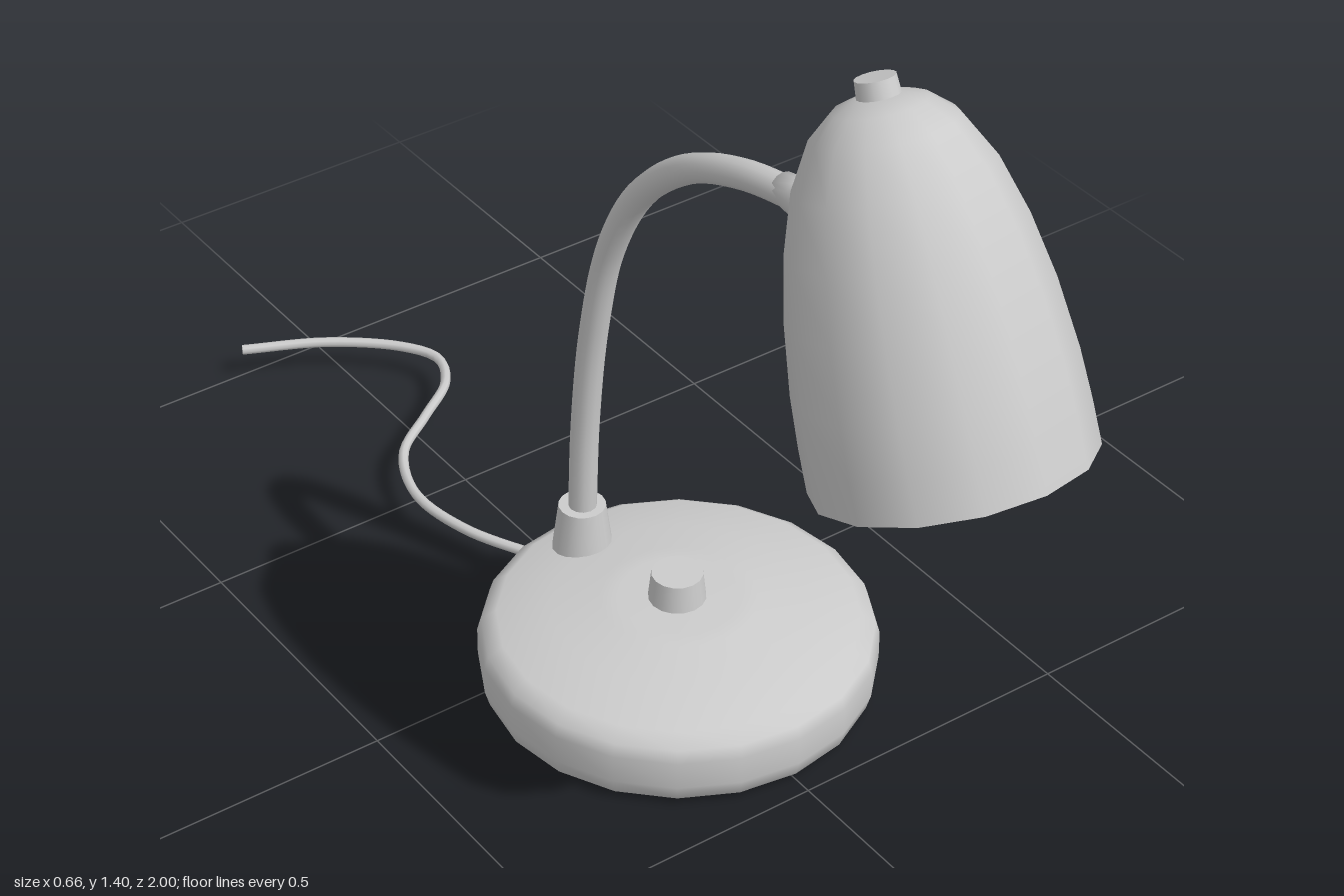
import * as THREE from 'three';

const grey = new THREE.MeshStandardMaterial({ color: 0xcccccc });
const thin = new THREE.MeshStandardMaterial({ color: 0xcccccc, side: THREE.DoubleSide });

// Turned part: profile is a list of [radius, height], bottom to top
function turned(name, profile, sides, material = grey) {
  const points = profile.map(([r, h]) => new THREE.Vector2(r, h));
  const mesh = new THREE.Mesh(new THREE.LatheGeometry(points, sides), material);
  mesh.name = name;
  return mesh;
}

// Tapered peg with its lower end at y
function peg(name, rTop, rBottom, height, x, y, z) {
  const geometry = new THREE.CylinderGeometry(rTop, rBottom, height, 16);
  const mesh = new THREE.Mesh(geometry, grey);
  mesh.position.set(x, y + height / 2, z);
  mesh.name = name;
  return mesh;
}

// Round tube along a smooth path, with closed ends
function hose(name, path, radius, steps, sides) {
  const curve = new THREE.CatmullRomCurve3(path.map(p => new THREE.Vector3(...p)));
  const group = new THREE.Group();
  group.name = name;
  group.add(new THREE.Mesh(new THREE.TubeGeometry(curve, steps, radius, sides), grey));
  for (const t of [0, 1]) {
    const cap = new THREE.Mesh(new THREE.CircleGeometry(radius, sides), grey);
    const out = curve.getTangent(t).multiplyScalar(t ? 1 : -1);
    cap.position.copy(curve.getPoint(t));
    cap.quaternion.setFromUnitVectors(new THREE.Vector3(0, 0, 1), out);
    group.add(cap);
  }
  return group;
}

export function createModel() {
  const lamp = new THREE.Group();
  lamp.name = 'deskLamp';

  // Weighted base with a softly sloping top
  const base = turned('base', [
    [0, 0], [0.1, 0], [0.31, 0.005], [0.324, 0.012], [0.332, 0.04], [0.332, 0.09],
    [0.325, 0.112], [0.3, 0.13], [0.21, 0.149], [0.13, 0.163], [0.1, 0.166], [0, 0.167],
  ], 20);
  base.position.z = 0.143;
  lamp.add(base);

  // Switch button and the socket of the arm
  lamp.add(peg('switchButton', 0.043, 0.049, 0.055, -0.003, 0.16, 0.143));
  lamp.add(peg('armSocket', 0.04, 0.053, 0.1, -0.034, 0.125, -0.085));

  // Bent arm
  lamp.add(hose('arm', [
    [-0.034, 0.2, -0.085], [-0.032, 0.4, -0.077], [-0.03, 0.6, -0.053], [-0.026, 0.78, -0.01],
    [-0.02, 0.92, 0.065], [-0.012, 1.02, 0.175], [-0.005, 1.075, 0.3], [0.002, 1.098, 0.42],
    [0.004, 1.104, 0.49],
  ], 0.024, 48, 12));

  // Flared joint with a collar between arm and shade
  const joint = turned('shadeJoint', [
    [0, -0.1], [0.025, -0.1], [0.03, -0.06], [0.039, -0.022], [0.039, -0.014], [0.05, -0.012],
    [0.052, 0.002], [0.042, 0.01], [0.036, 0.04], [0, 0.04],
  ], 14);
  joint.position.set(0.004, 1.104, 0.488);
  joint.rotation.x = Math.PI / 2 - 0.08;
  lamp.add(joint);

  // Open bell shade tipped forward, with its cap
  const shade = new THREE.Group();
  shade.name = 'shade';
  shade.add(turned('shadeShell', [
    [0.215, 0], [0.214, 0.07], [0.21, 0.15], [0.197, 0.26], [0.177, 0.36], [0.149, 0.45],
    [0.11, 0.52], [0.072, 0.553], [0.035, 0.566], [0, 0.568],
  ], 14, thin));
  shade.add(peg('shadeCap', 0.031, 0.034, 0.04, 0, 0.553, 0));
  shade.position.set(0.007, 0.832, 0.8);
  shade.rotation.x = -0.369;
  lamp.add(shade);

  // Power cord trailing behind the base
  lamp.add(hose('cord', [
    [-0.04, 0.056, -0.16], [-0.06, 0.056, -0.2], [-0.115, 0.056, -0.32], [-0.132, 0.056, -0.45],
    [-0.085, 0.056, -0.566], [0.005, 0.057, -0.635], [0.09, 0.058, -0.7], [0.118, 0.058, -0.77],
    [0.085, 0.058, -0.836], [-0.02, 0.059, -0.926], [-0.16, 0.059, -0.995],
  ], 0.009, 60, 8));

  return lamp;
}
